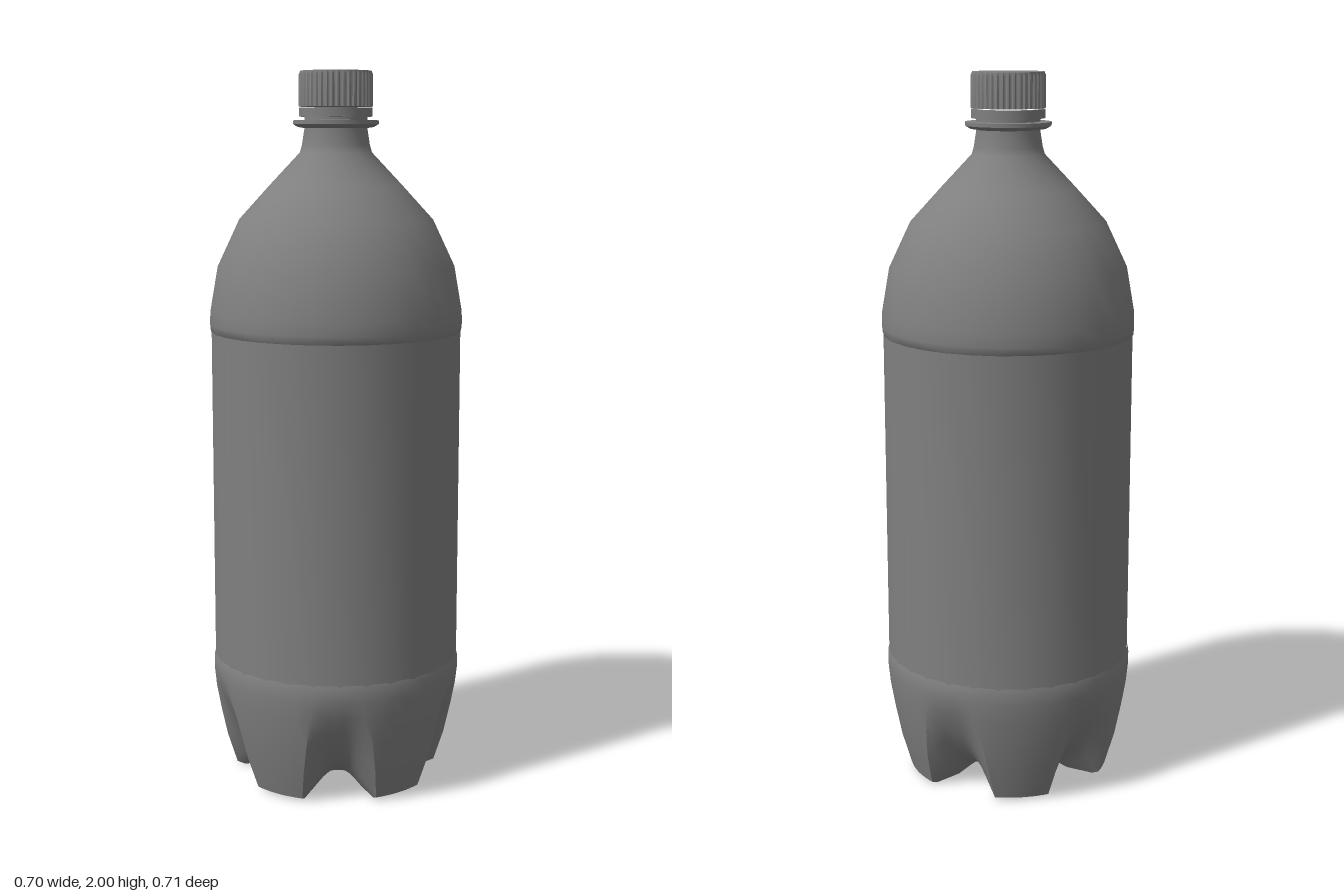
import * as THREE from 'three';
import { toCreasedNormals } from 'three/addons/utils/BufferGeometryUtils.js';

const material = new THREE.MeshStandardMaterial({ color: 0x808080 });
const SIDES = 30;

function part(name, geometry, crease = 0.6) {
  const mesh = new THREE.Mesh(toCreasedNormals(geometry, crease), material);
  mesh.name = name;
  return mesh;
}

// Turned part from [radius, height] pairs, listed from bottom to top
function turned(name, profile, sides = SIDES, crease) {
  const points = profile.map(([r, y]) => new THREE.Vector2(r, y));
  return part(name, new THREE.LatheGeometry(points, sides), crease);
}

// Skin over closed rings; at(row, column) returns [angle, radius, height]
function loft(rows, columns, at) {
  const positions = [];
  const index = [];
  for (let j = 0; j < rows; j++) {
    for (let i = 0; i < columns; i++) {
      const [a, r, y] = at(j, i);
      positions.push(r * Math.sin(a), y, r * Math.cos(a));
      if (j === rows - 1) continue;
      const p = j * columns + i;
      const q = j * columns + (i + 1) % columns;
      index.push(p, q, p + columns, q, q + columns, p + columns);
    }
  }
  const geometry = new THREE.BufferGeometry();
  geometry.setAttribute('position', new THREE.Float32BufferAttribute(positions, 3));
  geometry.setIndex(index);
  return geometry;
}

// Five-footed base: the section blends between a foot and a valley
function createBase() {
  const foot = [
    [0.001, 0.045], [0.025, 0.03], [0.08, 0.035], [0.14, 0.02], [0.19, 0.002], [0.27, 0],
    [0.29, 0.008], [0.317, 0.1], [0.335, 0.19], [0.347, 0.26], [0.352, 0.31], [0.352, 0.345], [0.348, 0.36],
  ];
  const valley = [
    [0.001, 0.045], [0.025, 0.03], [0.08, 0.035], [0.13, 0.04], [0.17, 0.05], [0.212, 0.072],
    [0.25, 0.105], [0.29, 0.163], [0.318, 0.215], [0.339, 0.265], [0.352, 0.31], [0.352, 0.345], [0.348, 0.36],
  ];
  const steps = 20;
  const sector = Math.PI / 5; // half the angle from foot to foot
  return loft(foot.length, 5 * steps, (j, i) => {
    const s = (i % steps) / (steps / 2) - 1;
    const d = Math.abs(s);
    // half width of the foot narrows towards the ground
    const half = THREE.MathUtils.degToRad(15 + 8 * THREE.MathUtils.clamp(foot[j][1] / 0.28, 0, 1));
    const t = Math.max(0, (d - 0.4) / 0.6);
    const angle = d <= 0.4 ? (d / 0.4) * half : half + t * (sector - half);
    // the valley floor is flat across its middle
    const w = Math.sin(Math.min(1, t * 1.2) * Math.PI / 2);
    return [
      Math.floor(i / steps) * 2 * sector + Math.sign(s) * angle,
      THREE.MathUtils.lerp(foot[j][0], valley[j][0], w),
      THREE.MathUtils.lerp(foot[j][1], valley[j][1], w),
    ];
  });
}

// Cap with fine vertical grip ribs and a flat top
function createCap() {
  const ribs = 40;
  const rows = [[0.0001, 1.904], [0.102, 1.904], [0.102, 1.99], [0.098, 2], [0.0001, 2]];
  return loft(rows.length, ribs * 4, (j, i) => {
    const ribbed = j === 1 || j === 2;
    const groove = ribbed && i % 4 > 1 ? 0.004 : 0;
    return [(i / (ribs * 4)) * Math.PI * 2, rows[j][0] - groove, rows[j][1]];
  });
}

export function createModel() {
  const bottle = new THREE.Group();
  bottle.name = 'bottle';
  bottle.add(
    part('footedBase', createBase(), 0.5),
    turned('labelWall', [[0.349, 0.355], [0.349, 1.29]]),
    turned('shoulder', [
      [0.345, 1.283], [0.351, 1.29], [0.353, 1.31], [0.352, 1.345], [0.33, 1.47], [0.27, 1.597],
      [0.185, 1.69], [0.1, 1.78], [0.094, 1.8], [0.087, 1.845], [0.087, 1.9],
    ], SIDES, 0.8),
    turned('neckFlange', [[0.085, 1.846], [0.105, 1.849], [0.118, 1.857], [0.118, 1.867], [0.085, 1.868]], 48),
    turned('sealRing', [[0.085, 1.877], [0.101, 1.877], [0.101, 1.901], [0.085, 1.901]], 48),
    part('cap', createCap(), 0.5),
  );
  return bottle;
}
